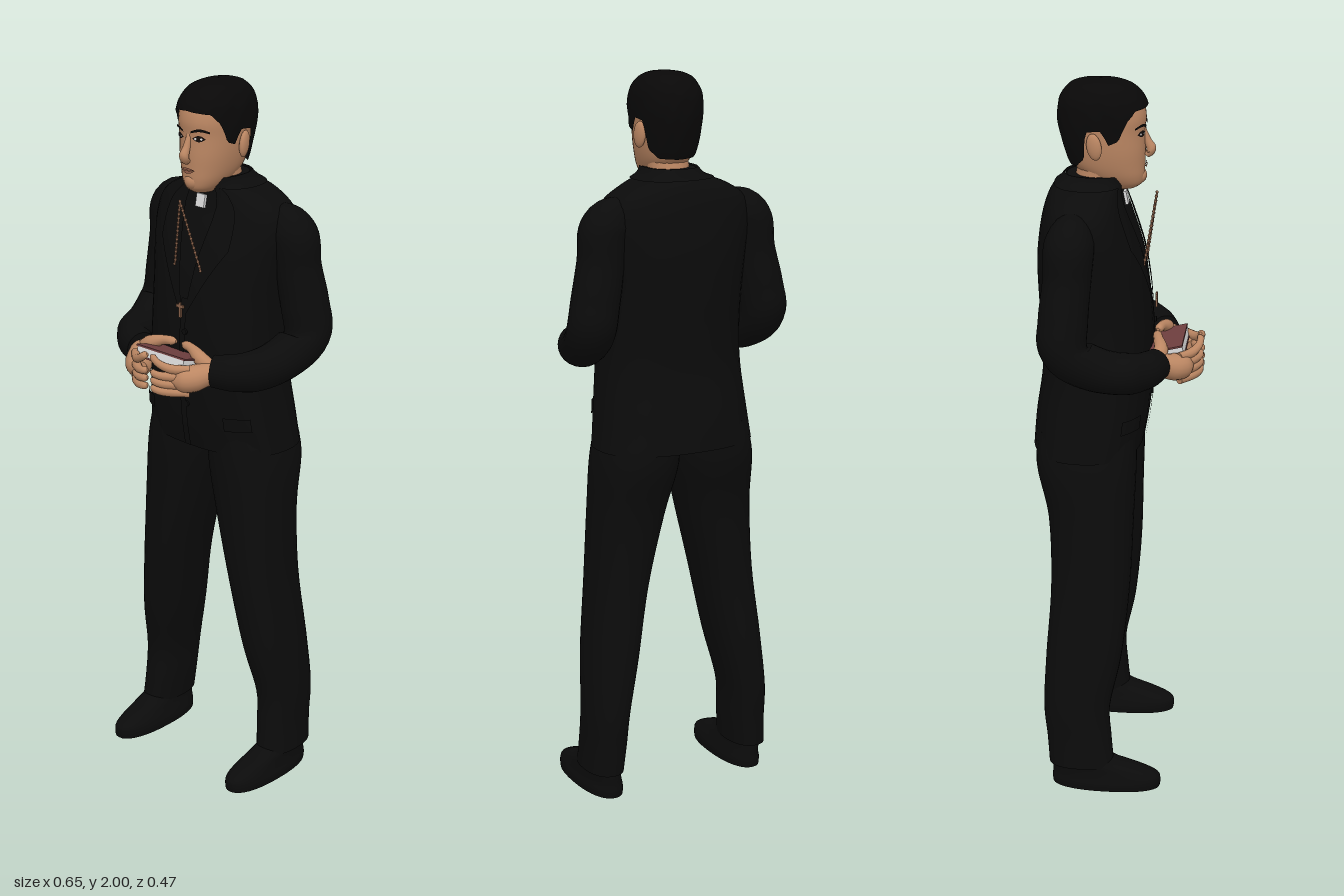
import * as THREE from 'three';

const mat = (name, color, open) => {
  const m = new THREE.MeshStandardMaterial({ color });
  m.name = name;
  if (open) m.side = THREE.DoubleSide;
  return m;
};

// Grid of points fn(i, j); optional wrap in i and flat caps at both ends
function grid(nu, nv, fn, wrap, caps) {
  const pos = [], idx = [], cols = wrap ? nu : nu + 1;
  for (let j = 0; j <= nv; j++) for (let i = 0; i < cols; i++) pos.push(...fn(i / nu, j / nv));
  for (let j = 0; j < nv; j++) for (let i = 0; i < nu; i++) {
    const a = j * cols + i, b = j * cols + (i + 1) % cols;
    idx.push(a, b, b + cols, a, b + cols, a + cols);
  }
  if (caps) for (const v of [0, 1]) {
    const base = pos.length / 3, c = [0, 0, 0];
    for (let i = 0; i < nu; i++) {
      const p = fn(i / nu, v);
      pos.push(...p);
      p.forEach((q, k) => { c[k] += q / nu; });
    }
    pos.push(...c);
    for (let i = 0; i < nu; i++) {
      const a = base + i, b = base + (i + 1) % nu;
      idx.push(...(v ? [a, b, base + nu] : [b, a, base + nu]));
    }
  }
  const g = new THREE.BufferGeometry();
  g.setAttribute('position', new THREE.Float32BufferAttribute(pos, 3));
  g.setIndex(idx);
  g.computeVertexNormals();
  return g;
}

// Smooth lookup in section rows [y, centre x, half width, z front, z back]
function rowAt(rows, t) {
  const n = rows.length - 1, i = Math.min(Math.floor(t), n - 1), f = t - i;
  const r = k => rows[Math.max(0, Math.min(n, k))];
  return rows[0].map((_, k) => {
    const [a, b, c, d] = [r(i - 1)[k], r(i)[k], r(i + 1)[k], r(i + 2)[k]];
    return b + 0.5 * f * (c - a + f * (2 * a - 5 * b + 4 * c - d + f * (3 * (b - c) + d - a)));
  });
}
// Point on a lofted body; angle 0 faces front, positive towards +x
function bodyPoint(rows, t, angle, off = 0, n = 2.2) {
  const [y, cx, hw, zf, zb] = rowAt(rows, t), pw = v => Math.sign(v) * Math.abs(v) ** (2 / n);
  const o = off * Math.min(1, hw / 0.03);
  return [cx + (hw + o) * pw(Math.sin(angle)), y + off * t / rows.length * 0.6,
    (zf + zb) / 2 + ((zf - zb) / 2 + o) * pw(Math.cos(angle))];
}
const loft = (rows, n) => grid(40, (rows.length - 1) * 5,
  (u, v) => bodyPoint(rows, v * (rows.length - 1), u * Math.PI * 2, 0, n), true, true);
// Thin skin lying on a body between two angles and two heights (functions of u)
const patch = (rows, a0, a1, low, high, off, n, nu = 16, nv = 10) => grid(nu, nv, (u, v) => {
  const lo = low(u), hi = high(u);
  return bodyPoint(rows, lo + (hi - lo) * v, a0 + (a1 - a0) * u, off, n);
});

// Round limb through [x, y, z, radius] points, mirrored by s
function limb(pts, s = 1, steps = 32, sides = 18) {
  const curve = new THREE.CatmullRomCurve3(pts.map(p => new THREE.Vector3(p[0] * s, p[1], p[2])));
  const fr = curve.computeFrenetFrames(steps), radii = pts.map(p => [p[3]]);
  return grid(sides, steps, (u, v) => {
    const k = Math.round(v * steps), c = curve.getPoint(v), a = u * Math.PI * 2;
    const r = rowAt(radii, v * (pts.length - 1))[0];
    c.addScaledVector(fr.normals[k], Math.cos(a) * r).addScaledVector(fr.binormals[k], Math.sin(a) * r);
    return c.toArray();
  }, true, true);
}

const TORSO = [
  [0.99, 0, 0.228, 0.072, -0.23], [1.08, 0, 0.216, 0.087, -0.222], [1.2, 0, 0.203, 0.095, -0.205],
  [1.3, 0, 0.198, 0.096, -0.206], [1.42, 0, 0.2, 0.085, -0.213], [1.52, 0, 0.21, 0.068, -0.215],
  [1.6, 0, 0.22, 0.042, -0.207], [1.66, 0, 0.205, 0.02, -0.195], [1.7, 0, 0.145, 0.01, -0.18],
  [1.722, 0, 0.085, 0.012, -0.155], [1.742, 0, 0.066, 0.016, -0.137]];
const HEAD = [
  [1.705, 0, 0.028, 0.045, -0.04], [1.718, 0, 0.042, 0.064, -0.06], [1.74, 0, 0.056, 0.07, -0.09],
  [1.77, 0, 0.067, 0.071, -0.12], [1.81, 0, 0.075, 0.072, -0.135], [1.86, 0, 0.08, 0.071, -0.148],
  [1.9, 0, 0.082, 0.074, -0.152], [1.94, 0, 0.077, 0.064, -0.147], [1.97, 0, 0.06, 0.038, -0.127],
  [1.985, 0, 0.036, 0.005, -0.1], [1.992, 0, 0.001, -0.045, -0.047]];
const LEG = [
  [0.07, 0.228, 0.053, 0.012, -0.172], [0.15, 0.222, 0.055, 0.004, -0.178], [0.25, 0.217, 0.058, 0, -0.187],
  [0.4, 0.195, 0.07, 0.03, -0.182], [0.6, 0.165, 0.08, 0.05, -0.17], [0.8, 0.135, 0.1, 0.057, -0.178],
  [0.95, 0.115, 0.113, 0.062, -0.212], [1.05, 0.105, 0.1, 0.06, -0.205]];
const SHOE = [
  [0, 0.222, 0.056, 0.143, -0.163], [0.018, 0.222, 0.057, 0.145, -0.165], [0.036, 0.222, 0.053, 0.138, -0.163],
  [0.056, 0.224, 0.048, 0.095, -0.163], [0.075, 0.226, 0.046, 0.035, -0.16], [0.095, 0.226, 0.042, 0, -0.15]];

export function createModel() {
  const suit = mat('black cloth', 0x0b0b0b, true), hairM = mat('black hair', 0x090808, true);
  const skin = mat('skin', 0xbc8763), lipM = mat('lips', 0x96604c, true), eyeM = mat('dark eye', 0x140d0a, true);
  const white = mat('white', 0xdcdcdc, true), cover = mat('dark red cover', 0x703f3f), bead = mat('brown wood', 0x8a624a);
  const man = new THREE.Group();
  man.name = 'standingMan';
  const add = (name, geo, m, parent = man) => {
    const mesh = new THREE.Mesh(geo, m);
    mesh.name = name;
    parent.add(mesh);
    return mesh;
  };

  // Jacket body, collar and front details
  add('jacket', loft(TORSO, 2.4), suit);
  add('neck', limb([[0, 1.66, -0.075, 0.06], [0, 1.72, -0.06, 0.057], [0, 1.79, -0.045, 0.058]]), skin);
  add('jacketCollar', patch(TORSO, 0.35, Math.PI * 2 - 0.35, () => 8.6, () => 10, 0.006, 2.4, 40), suit);
  add('frontEdge', patch(TORSO, -0.02, 0.03, () => 0.05, () => 4, 0.004, 2.4), suit);
  const tab = add('whiteCollarTab', new THREE.BoxGeometry(0.03, 0.036, 0.008), white);
  tab.position.set(0, 1.677, 0.021);
  tab.rotation.x = -0.2;
  for (const y of [1.12, 1.22, 1.33]) {
    const b = add('button', new THREE.CylinderGeometry(0.008, 0.008, 0.006, 12), suit);
    b.rotation.x = Math.PI / 2;
    b.position.set(0.012, y, y < 1.2 ? 0.092 : 0.1);
  }

  // Head and face
  add('head', loft(HEAD, 2.2), skin);
  add('nose', limb([[0, 1.87, 0.062, 0.008], [0, 1.835, 0.076, 0.01], [0, 1.807, 0.087, 0.014], [0, 1.793, 0.074, 0.009]], 1, 16, 12), skin);
  add('chin', new THREE.SphereGeometry(0.024, 16, 12), skin).position.set(0, 1.738, 0.052);
  const bump = u => Math.sin(Math.PI * u);
  add('upperLip', patch(HEAD, -0.32, 0.32, () => 3.0, u => 3.0 + 0.17 * bump(u), 0.004), lipM);
  add('lowerLip', patch(HEAD, -0.28, 0.28, u => 2.97 - 0.24 * bump(u), () => 2.97, 0.005), lipM);

  // Hair cap: low at the nape, cut around the ears, high on the forehead
  const edge = [[0, 6.65], [0.75, 6.5], [1.0, 5.9], [1.2, 4.7], [1.45, 4.5], [1.55, 5.3], [1.85, 5.2], [2.05, 3.6], [2.4, 3], [3.2, 2.9]];
  const hairline = u => {
    const a = Math.abs(u * 2 - 1) * Math.PI, k = edge.findIndex(e => e[0] > a), [p, q] = [edge[k - 1], edge[k]];
    return p[1] + (q[1] - p[1]) * (a - p[0]) / (q[0] - p[0]);
  };
  const hair = patch(HEAD, -Math.PI, Math.PI, hairline, () => 10, 0.009, 2.2, 96, 24);
  const hp = hair.attributes.position;
  for (let i = 0; i < hp.count; i++) {
    const x = hp.getX(i), y = hp.getY(i), z = hp.getZ(i);
    const wave = 1 + 0.012 * Math.sin(x * 130) * Math.sin(z * 90 + y * 60);
    hp.setXYZ(i, x * wave, y, -0.04 + (z + 0.04) * wave);
  }
  hair.computeVertexNormals();
  add('hair', hair, hairM);

  // Rows of the body that come in pairs
  for (const s of [1, -1]) {
    const side = new THREE.Group();
    side.name = s > 0 ? 'leftSide' : 'rightSide';
    man.add(side);
    const flip = rows => rows.map(([y, cx, ...r]) => [y, cx * s, ...r]);
    add('trouserLeg', loft(flip(LEG), 2.3), suit, side);
    add('shoe', loft(flip(SHOE), 2.3), suit, side);

    add('sleeve', limb([[0.16, 1.635, -0.1, 0.05], [0.213, 1.607, -0.105, 0.066], [0.23, 1.51, -0.11, 0.064],
      [0.25, 1.41, -0.118, 0.066], [0.262, 1.33, -0.115, 0.066], [0.245, 1.275, -0.035, 0.06],
      [0.215, 1.255, 0.06, 0.056], [0.175, 1.252, 0.095, 0.05], [0.132, 1.252, 0.115, 0.044]], s, 56, 24), suit, side);
    add('lapel', patch(TORSO, s * 0.02, s * 0.5, u => 3.6 + u * 1.9, u => 3.7 + Math.min(u * 9, 4.9), 0.005, 2.4), suit, side);
    add('pocketFlap', patch(TORSO, s * 0.55, s * 1.0, () => 0.85, () => 1.2, 0.006, 2.4), suit, side);

    // Hand with curled fingers and a thumb resting on the book
    add('palm', limb([[0.155, 1.25, 0.1, 0.027], [0.125, 1.245, 0.13, 0.032], [0.098, 1.235, 0.165, 0.037],
      [0.078, 1.233, 0.185, 0.034], [0.06, 1.235, 0.198, 0.018]], s), skin, side);
    for (let i = 0; i < 4; i++) {
      const y = 1.198 + i * 0.022, lift = i === 3 ? 0.028 : 0.006;
      add('finger', limb([[0.1, y, 0.175, 0.012], [0.062, y + 0.002, 0.208, 0.013], [0.034, y + lift / 2, 0.224, 0.011],
        [0.014, y + lift, 0.226, 0.01], [0.007, y + lift + 0.003, 0.224, 0.004]], s, 16, 10), skin, side);
    }
    add('thumb', limb([[0.13, 1.255, 0.115, 0.02], [0.09, 1.282, 0.125, 0.02], [0.055, 1.295, 0.115, 0.014],
      [0.025, 1.298, 0.109, 0.012], [0.012, 1.298, 0.107, 0.005]], s, 20, 12), skin, side);

    // Ear, eye and brow
    const ear = add('ear', new THREE.SphereGeometry(1, 16, 12), skin, side);
    ear.scale.set(0.011, 0.036, 0.021);
    ear.position.set(s * 0.085, 1.832, -0.055);
    ear.rotation.set(-0.15, s * 0.25, 0);
    add('eye', patch(HEAD, s * 0.16, s * 0.6, u => 4.93 - 0.16 * bump(u), u => 4.93 + 0.2 * bump(u), 0.002), eyeM, side);
    for (const [a, b] of [[0.23, 0.32], [0.42, 0.51]])
      add('eyeWhite', patch(HEAD, s * a, s * b, u => 4.93 - 0.07 * bump(u), u => 4.93 + 0.07 * bump(u), 0.0035), white, side);
    add('brow', patch(HEAD, s * 0.13, s * 0.72, u => 5.25 + 0.14 * bump(u), u => 5.38 + 0.2 * bump(u), 0.004), hairM, side);

    // Hanging cord with small beads
    const from = new THREE.Vector3(0, 1.692, 0.103), to = new THREE.Vector3(s * 0.05, 1.49, 0.072);
    add('cord', new THREE.TubeGeometry(new THREE.LineCurve3(from, to), 1, 0.0026, 6), bead, side);
    for (let i = 0; i <= 16; i++)
      add('bead', new THREE.SphereGeometry(0.0042, 8, 6), bead, side).position.lerpVectors(from, to, i / 16);
  }

  // Small pendant
  add('pendantUpright', new THREE.BoxGeometry(0.007, 0.042, 0.005), bead).position.set(0, 1.39, 0.104);
  add('pendantBar', new THREE.BoxGeometry(0.026, 0.008, 0.005), bead).position.set(0, 1.401, 0.104);

  // Book held between the hands, front edge raised
  const book = new THREE.Group();
  book.name = 'book';
  book.position.set(0, 1.262, 0.128);
  book.rotation.x = -0.25;
  man.add(book);
  for (const y of [-0.014, 0.014]) add('bookCover', new THREE.BoxGeometry(0.178, 0.005, 0.118), cover, book).position.y = y;
  add('bookSpine', new THREE.BoxGeometry(0.178, 0.03, 0.005), cover, book).position.z = -0.058;
  add('bookPages', new THREE.BoxGeometry(0.17, 0.024, 0.113), white, book).position.z = 0.001;
  return man;
}
